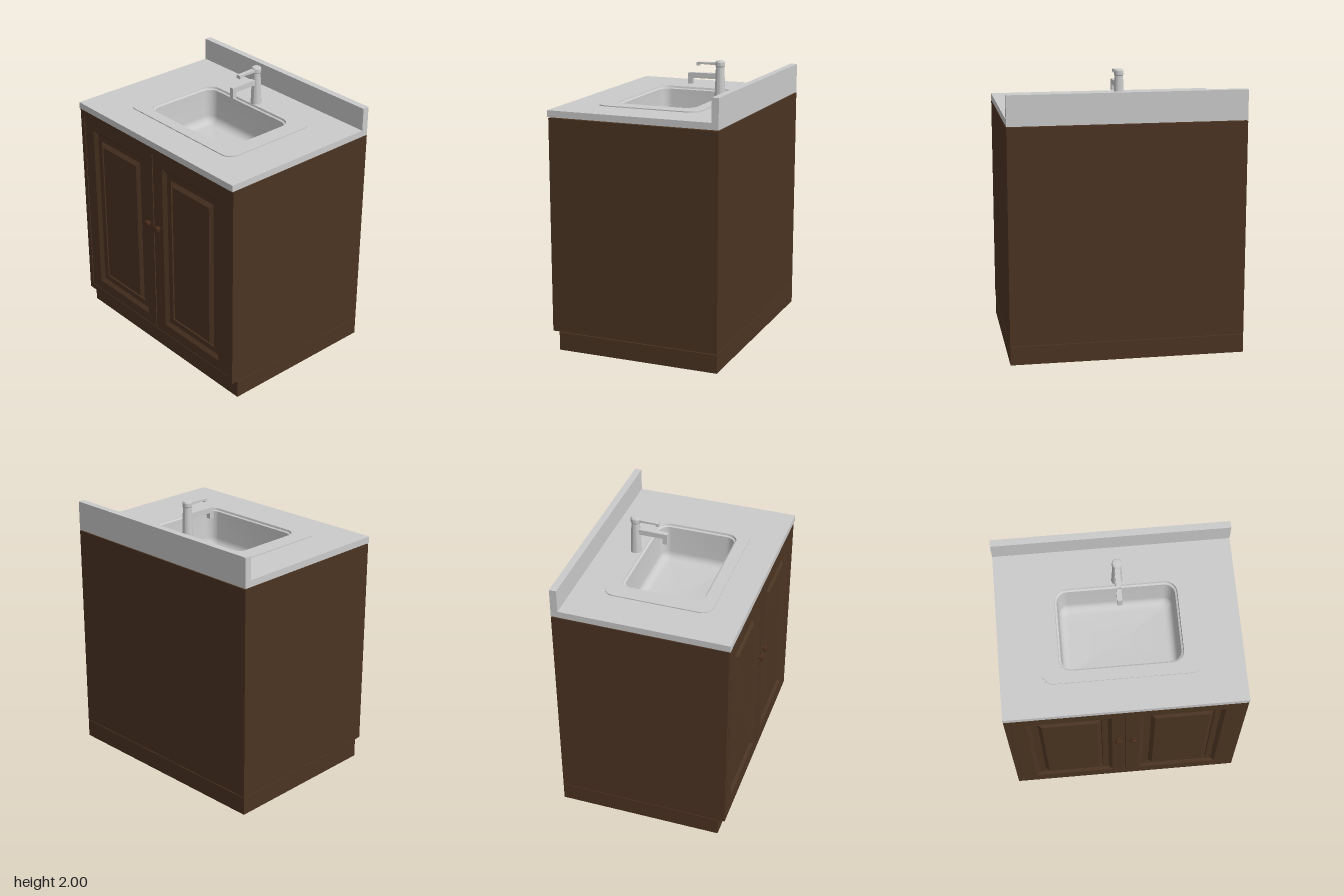
import * as THREE from 'three';
import { toCreasedNormals } from 'three/addons/utils/BufferGeometryUtils.js';

const W = 0.8275, BACK = -0.637, FRONT = 0.6;

// Counter-clockwise outline of a (rounded) rectangle
function outline(cx, cy, hw, hh, r = 0, n = 7) {
  if (r === 0) {
    return [[-1, -1], [1, -1], [1, 1], [-1, 1]].map(([x, y]) => new THREE.Vector2(cx + x * hw, cy + y * hh));
  }
  const pts = [];
  [[1, 1], [-1, 1], [-1, -1], [1, -1]].forEach(([sx, sy], k) => {
    for (let i = 0; i <= n; i++) {
      const a = (k + i / n) * Math.PI / 2;
      pts.push(new THREE.Vector2(cx + sx * (hw - r) + r * Math.cos(a), cy + sy * (hh - r) + r * Math.sin(a)));
    }
  });
  return pts;
}

// Plate facing +z with holes
function plate(outer, holes, z0, z1) {
  const shape = new THREE.Shape(outer);
  shape.holes = holes.map((h) => new THREE.Path(h));
  return new THREE.ExtrudeGeometry(shape, { depth: z1 - z0, bevelEnabled: false }).translate(0, 0, z0);
}

// Plate lying flat between two heights
const slab = (outer, holes, y0, y1) => plate(outer, holes, y0, y1).rotateX(-Math.PI / 2);

// Skin through rings running inward, closed by a fan at the last ring
function loft(rings, centre, crease) {
  const pos = [], idx = [], n = rings[0].pts.length;
  rings.forEach(({ pts, z }) => pts.forEach((p) => pos.push(p.x, p.y, z)));
  pos.push(...centre);
  for (let k = 0; k < rings.length; k++) {
    for (let i = 0; i < n; i++) {
      const a = k * n + i, b = k * n + (i + 1) % n;
      if (k === rings.length - 1) idx.push(a, b, rings.length * n);
      else idx.push(a, b, b + n, a, b + n, a + n);
    }
  }
  const g = new THREE.BufferGeometry();
  g.setAttribute('position', new THREE.Float32BufferAttribute(pos, 3));
  g.setIndex(idx);
  return toCreasedNormals(g, crease);
}

function box(x0, x1, y0, y1, z0, z1) {
  return new THREE.BoxGeometry(x1 - x0, y1 - y0, z1 - z0)
    .translate((x0 + x1) / 2, (y0 + y1) / 2, (z0 + z1) / 2);
}

// Side profile given as [z, y], extruded across x about a centre
function sideProfile(points, width, cx) {
  const shape = new THREE.Shape(points.map(([z, y]) => new THREE.Vector2(-z, y)));
  return new THREE.ExtrudeGeometry(shape, { depth: width, bevelEnabled: false })
    .translate(0, 0, -width / 2).rotateY(Math.PI / 2).translate(cx, 0, 0);
}

export function createModel() {
  const model = new THREE.Group();
  const wood = new THREE.MeshStandardMaterial({ color: 0x4b3422 });
  wood.name = 'dark wood';
  const knobWood = new THREE.MeshStandardMaterial({ color: 0x4a2d1c });
  knobWood.name = 'knob brown';
  const stone = new THREE.MeshStandardMaterial({ color: 0xcbcbcb, side: THREE.DoubleSide });
  stone.name = 'pale grey';
  const add = (name, geometry, material) => {
    const mesh = new THREE.Mesh(geometry, material);
    mesh.name = name;
    model.add(mesh);
    return mesh;
  };

  // Plinth and hollow carcass, with narrow shadow gaps between the parts
  add('plinth', box(-W, W, 0, 0.131, BACK, 0.55), wood);
  const zMid = (BACK + 0.56) / 2, zHalf = (0.56 - BACK) / 2;
  add('carcass', slab(outline(0, -zMid, W, zHalf), [outline(0, 0, 0.45, 0.32, 0.09)], 0.136, 1.662), wood);
  add('carcassFloor', box(-0.6, 0.6, 0.137, 0.15, -0.4, 0.4), wood);

  // Front face with door openings and the grooves between the doors
  const cy = 0.9, doorX = 0.39, hw = 0.292, hh = 0.642;
  const grooves = [
    outline(-0.785, 0.9, 0.004, 0.71),
    outline(-0.005, 0.9, 0.004, 0.71),
    outline(0, 0.18, 0.785, 0.002),
  ];
  const openings = [-1, 1].map((s) => outline(s * doorX, cy, hw, hh));
  add('doorFronts', plate(outline(0, 0.899, W, 0.763), [...openings, ...grooves], 0.56, FRONT), wood);

  // Raised panel and round knob on each door
  const steps = [[0, FRONT], [0.028, 0.58], [0.07, 0.58], [0.075, 0.572], [0.103, 0.594]];
  const knobProfile = [[0.018, 0], [0.012, 0.006], [0.012, 0.018], [0.026, 0.02], [0.027, 0.027], [0.022, 0.034], [0.012, 0.037], [0, 0.038]];
  for (const s of [-1, 1]) {
    const side = s > 0 ? 'left' : 'right';
    const rings = steps.map(([inset, z]) => ({ pts: outline(s * doorX, cy, hw - inset, hh - inset), z }));
    add(side + 'DoorPanel', loft(rings, [s * doorX, cy, 0.594], 0.15), wood);
    const knob = new THREE.LatheGeometry(knobProfile.map(([r, y]) => new THREE.Vector2(r, y)), 24);
    add(side + 'Knob', toCreasedNormals(knob.rotateX(Math.PI / 2), 0.7), knobWood).position.set(s * 0.053, 1.052, FRONT);
  }

  // Worktop and backsplash
  const topMid = (BACK + 0.608) / 2, topHalf = (0.608 - BACK) / 2;
  add('worktop', slab(outline(0, -topMid, W, topHalf), [outline(0, 0, 0.43, 0.302, 0.09)], 1.668, 1.715), stone);
  add('backsplash', box(-W, W, 1.715, 1.88, BACK, -0.587), stone);

  // Sink rim and basin
  add('sinkRim', slab(outline(0, 0, 0.545, 0.382, 0.08), [outline(0, 0, 0.424, 0.298, 0.085)], 1.714, 1.722), stone);
  const basin = [[0, 1.722], [0.004, 1.708], [0.016, 1.702], [0.024, 1.5]];
  for (let i = 1; i <= 6; i++) {
    const a = i / 6 * Math.PI / 2;
    basin.push([0.024 + 0.06 * (1 - Math.cos(a)), 1.5 - 0.06 * Math.sin(a)]);
  }
  const basinRings = basin.map(([inset, y]) => ({
    pts: outline(0, 0, 0.424 - inset, 0.298 - inset, Math.max(0.085 - inset * 0.7, 0.02)), z: y,
  }));
  add('basin', loft(basinRings, [0, 0, 1.43], 0.6).rotateX(-Math.PI / 2), stone);

  // Tap: tapered body, spout and lever
  const fx = 0.018, fz = -0.338;
  const body = [[0, 1.715], [0.04, 1.715], [0.038, 1.74], [0.03, 1.955], [0.034, 1.962], [0.034, 1.988], [0.028, 1.998], [0, 2]];
  const bodyGeo = new THREE.LatheGeometry(body.map(([r, y]) => new THREE.Vector2(r, y)), 32);
  add('tapBody', toCreasedNormals(bodyGeo, 0.5), stone).position.set(fx, 0, fz);
  add('tapSpout', sideProfile([[-0.33, 1.868], [-0.135, 1.868], [-0.135, 1.826], [-0.103, 1.826], [-0.103, 1.904], [-0.33, 1.908]], 0.034, fx), stone);
  add('tapLever', sideProfile([[-0.33, 1.966], [-0.186, 1.97], [-0.186, 1.957], [-0.165, 1.957], [-0.165, 1.981], [-0.33, 1.986]], 0.032, fx), stone);

  return model;
}
